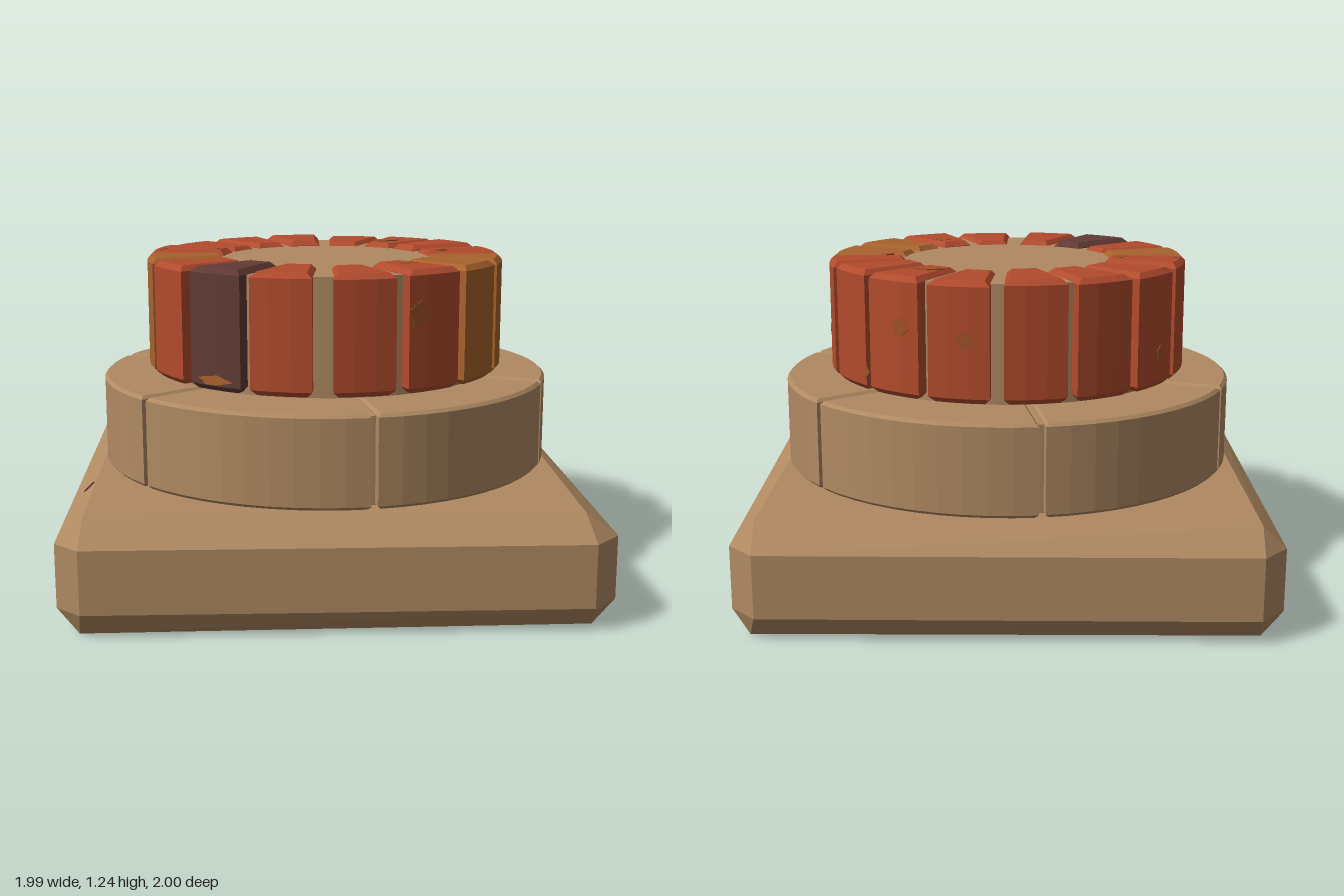
import * as THREE from 'three';
import { ConvexGeometry } from 'three/addons/geometries/ConvexGeometry.js';

const rad = THREE.MathUtils.degToRad;

function material(name, color) {
  const m = new THREE.MeshStandardMaterial({ color });
  m.name = name;
  return m;
}

// Bevelled ring sector between two radii, centred on an angle measured from +x towards +z.
// Sides are cut parallel-ish: the gap keeps a constant half width at every radius.
function sector(r0, r1, y0, y1, centre, span, gap, steps, bevel) {
  const pts = [];
  const arc = (r, dir) => {
    const half = rad(span / 2) - Math.asin(gap / r);
    for (let i = 0; i <= steps; i++) {
      const a = rad(centre) + dir * half * (2 * i / steps - 1);
      pts.push(new THREE.Vector2(r * Math.cos(a), -r * Math.sin(a)));
    }
  };
  arc(r1, -1);
  arc(r0, 1);
  const geo = new THREE.ExtrudeGeometry(new THREE.Shape(pts), {
    depth: y1 - y0 - 2 * bevel, bevelEnabled: true, bevelSegments: 1,
    bevelSize: bevel, bevelThickness: bevel, bevelOffset: -bevel,
  });
  return geo.rotateX(-Math.PI / 2).translate(0, y0 + bevel, 0);
}

// Thin irregular stain facing +z
function stain(w, h) {
  const wobble = [1, 0.75, 1.05, 0.8, 0.95, 0.65, 1, 0.85, 0.7];
  const pts = wobble.map((k, i) => {
    const a = i / wobble.length * Math.PI * 2;
    return new THREE.Vector2(k * w / 2 * Math.cos(a), k * h / 2 * Math.sin(a));
  });
  return new THREE.ExtrudeGeometry(new THREE.Shape(pts), { depth: 0.005, bevelEnabled: false });
}

export function createModel() {
  const model = new THREE.Group();
  const stone = material('tan stone', 0xb08a62);
  const red = material('red brick', 0xb24b2d);
  const ochre = material('ochre brick', 0xa8622c);
  const dark = material('dark brick', 0x603a35);
  const rust = material('rust stain', 0xa05228);

  const add = (name, geo, mat, parent = model) => {
    const mesh = new THREE.Mesh(geo, mat);
    mesh.name = name;
    parent.add(mesh);
    return mesh;
  };
  const group = (name) => {
    const g = new THREE.Group();
    g.name = name;
    model.add(g);
    return g;
  };

  // Slightly irregular base slab with chamfered edges and corners
  const outline = [[-0.99, -0.9], [-0.9, -1], [0.88, -0.99], [0.975, -0.89],
    [0.995, 0.9], [0.9, 1], [-0.9, 0.975], [-0.99, 0.89]];
  const topFace = [[-0.9, -0.92], [0.885, -0.89], [0.875, 0.905], [-0.89, 0.88]];
  const slab = [];
  for (const [x, z] of outline) {
    slab.push(new THREE.Vector3(x, 0.09, z), new THREE.Vector3(x, 0.325, z));
  }
  for (const [x, z] of topFace) {
    slab.push(new THREE.Vector3(x, 0.415, z));
    slab.push(new THREE.Vector3(Math.sign(x) * 0.91, 0, Math.sign(z) * 0.91));
  }
  add('baseSlab', new ConvexGeometry(slab), stone);

  // Lower ring of six stone blocks around a recessed core
  const ring = group('stoneRing');
  for (let i = 0; i < 6; i++) {
    add('stoneBlock', sector(0.3, 0.885, 0.425, 0.77, 51.5 + i * 60, 60, 0.012, 10, 0.012), stone, ring);
  }
  add('stoneRingCore', new THREE.CylinderGeometry(0.84, 0.84, 0.325, 48).translate(0, 0.5925, 0), stone, ring);

  // Inner drum that fills the brick circle
  add('innerDrum', new THREE.CylinderGeometry(0.65, 0.65, 0.44, 48).translate(0, 1, 0), stone);

  // Circle of sixteen upright bricks
  const bricks = group('brickCircle');
  const angles = [14, 36, 58, 81, 106, 128, 151, 172, 195, 217, 239, 261, 284, 306, 327, 350];
  const special = { 0: ochre, 1: ochre, 5: dark, 7: ochre };
  angles.forEach((a, i) => {
    const top = 1.236 + 0.006 * (i * 7 % 3) / 2;
    add('brick', sector(0.405, 0.705, 0.79, top, a, 20.5, 0.01, 3, 0.02), special[i] || red, bricks);
  });

  // Stains on the outer brick faces: angle, height, width, tallness
  const stains = group('stains');
  const side = [[64, 1.08, 0.1, 0.1], [-4, 0.945, 0.06, 0.04], [-42, 0.86, 0.05, 0.05],
    [-57, 1.05, 0.08, 0.08], [-78, 1.02, 0.07, 0.07], [215, 0.92, 0.05, 0.06], [128, 0.83, 0.17, 0.04]];
  for (const [deg, y, w, h] of side) {
    const a = rad(deg);
    const s = add('sideStain', stain(w, h), deg === 128 ? ochre : rust, stains);
    s.position.set(0.702 * Math.cos(a), y, 0.702 * Math.sin(a));
    s.rotation.y = Math.PI / 2 - a;
  }

  // Stains on the brick tops, and one dark mark on the slab bevel
  const tops = [[0.28, 0.41, 0.09, 0.07], [0.28, -0.42, 0.12, 0.06], [0.47, -0.03, 0.05, 0.05],
    [-0.44, -0.11, 0.05, 0.05], [-0.65, -0.12, 0.04, 0.06]];
  for (const [x, z, w, h] of tops) {
    const s = add('topStain', stain(w, h), rust, stains);
    s.position.set(x, 1.2385, z);
    s.rotation.x = -Math.PI / 2;
  }
  const mark = add('slabMark', stain(0.06, 0.03), dark, stains);
  mark.position.set(-0.92, 0.389, 0.41);
  mark.rotation.set(-Math.PI / 2, Math.PI / -4, 0);

  return model;
}
